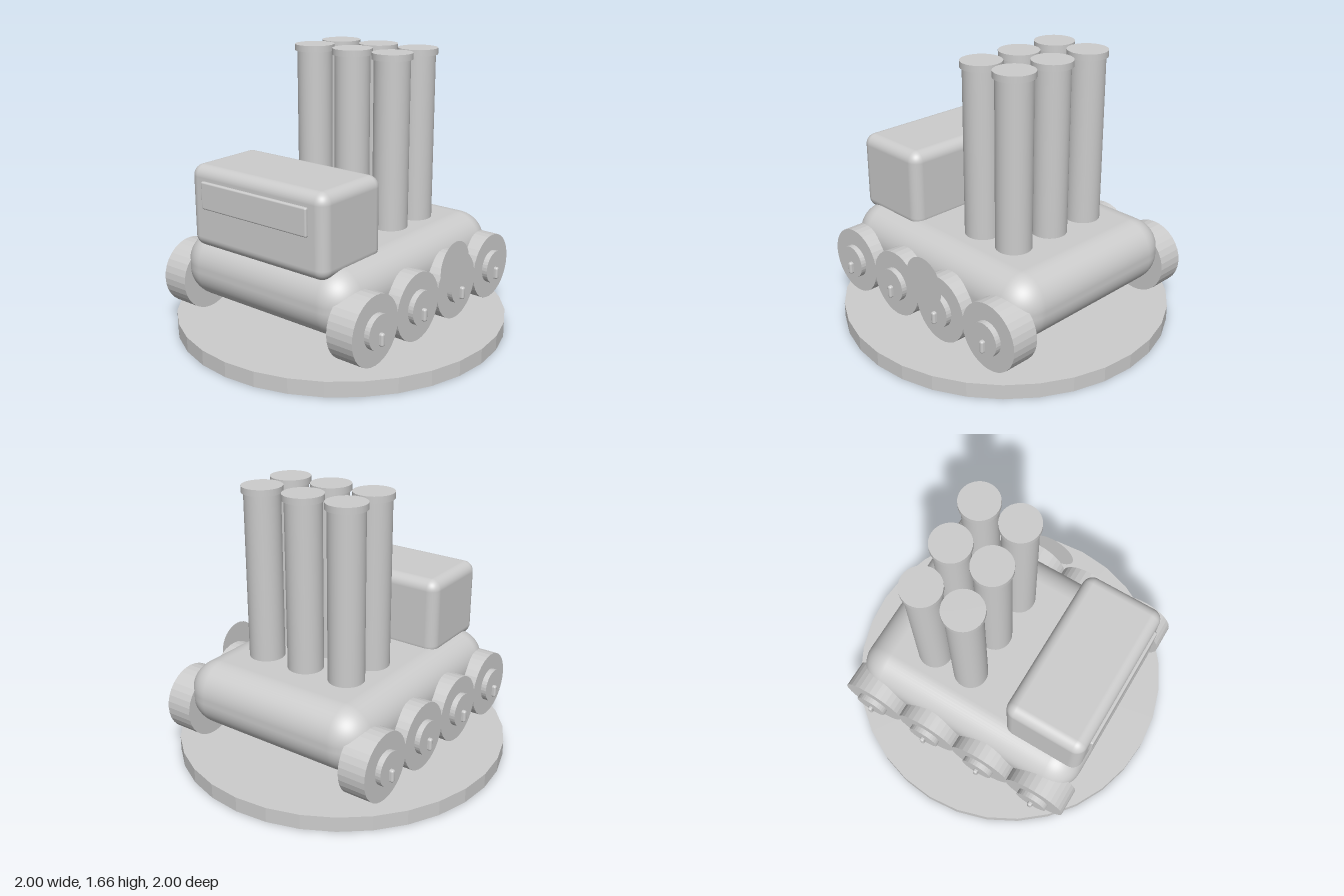
import * as THREE from 'three';
import { RoundedBoxGeometry } from 'three/addons/geometries/RoundedBoxGeometry.js';

export function createModel() {
  const model = new THREE.Group();
  model.name = 'wheeledLauncher';

  // one colour; faceted and double-sided variants share it
  const grey = new THREE.MeshStandardMaterial({ color: 0xcccccc, side: THREE.DoubleSide });
  grey.name = 'plain grey';

  const add = (name, geometry, x, y, z, parent = model) => {
    const mesh = new THREE.Mesh(geometry, grey);
    mesh.name = name;
    mesh.position.set(x, y, z);
    parent.add(mesh);
    return mesh;
  };
  const box = (w, h, d, r, seg = 6) => new RoundedBoxGeometry(w, h, d, seg, r);
  const cylinder = (r, h) => new THREE.CylinderGeometry(r, r, h, 32);
  // faceted cylinder: unshared vertices give one normal per side
  const faceted = (r, h) => {
    const g = cylinder(r, h).toNonIndexed();
    g.computeVertexNormals();
    return g;
  };

  // round stand
  add('base', faceted(1, 0.09), 0, 0.045, 0);

  // hull, cabin and its front window panel
  add('hull', box(1.24, 0.39, 1.52, 0.18, 8), 0, 0.435, 0);
  add('cabin', box(0.98, 0.48, 0.505, 0.065), 0, 0.818, 0.497);
  add('windowPanel', box(0.77, 0.16, 0.04, 0.01, 3), 0, 0.897, 0.747);

  // six upright tubes with lids
  for (const z of [-0.105, -0.358]) {
    for (const x of [-0.285, 0, 0.285]) {
      const tube = new THREE.Group();
      tube.name = 'launchTube';
      tube.position.set(x, 0, z);
      model.add(tube);
      add('tubeBody', cylinder(0.105, 1.05), 0, 1.095, 0, tube);
      add('tubeLid', cylinder(0.118, 0.037), 0, 1.637, 0, tube);
    }
  }

  // four wheels per side, each with a hub and a small pin
  for (const side of [-1, 1]) {
    for (const z of [-0.588, -0.196, 0.196, 0.588]) {
      const wheel = new THREE.Group();
      wheel.name = side > 0 ? 'leftWheel' : 'rightWheel';
      wheel.position.set(0, 0.33, z);
      model.add(wheel);
      add('tyre', faceted(0.2, 0.168), side * 0.618, 0, 0, wheel).rotation.z = Math.PI / 2;
      add('hub', faceted(0.1, 0.06), side * 0.705, 0, 0, wheel).rotation.z = Math.PI / 2;
      add('hubPin', box(0.05, 0.075, 0.03, 0.012, 3), side * 0.733, -0.037, 0, wheel);
    }
  }

  // thin round plate on the left side
  add('sidePlate', new THREE.CircleGeometry(0.15, 32), 0.74, 0.48, -0.112).rotation.y = Math.PI / 2;

  return model;
}
